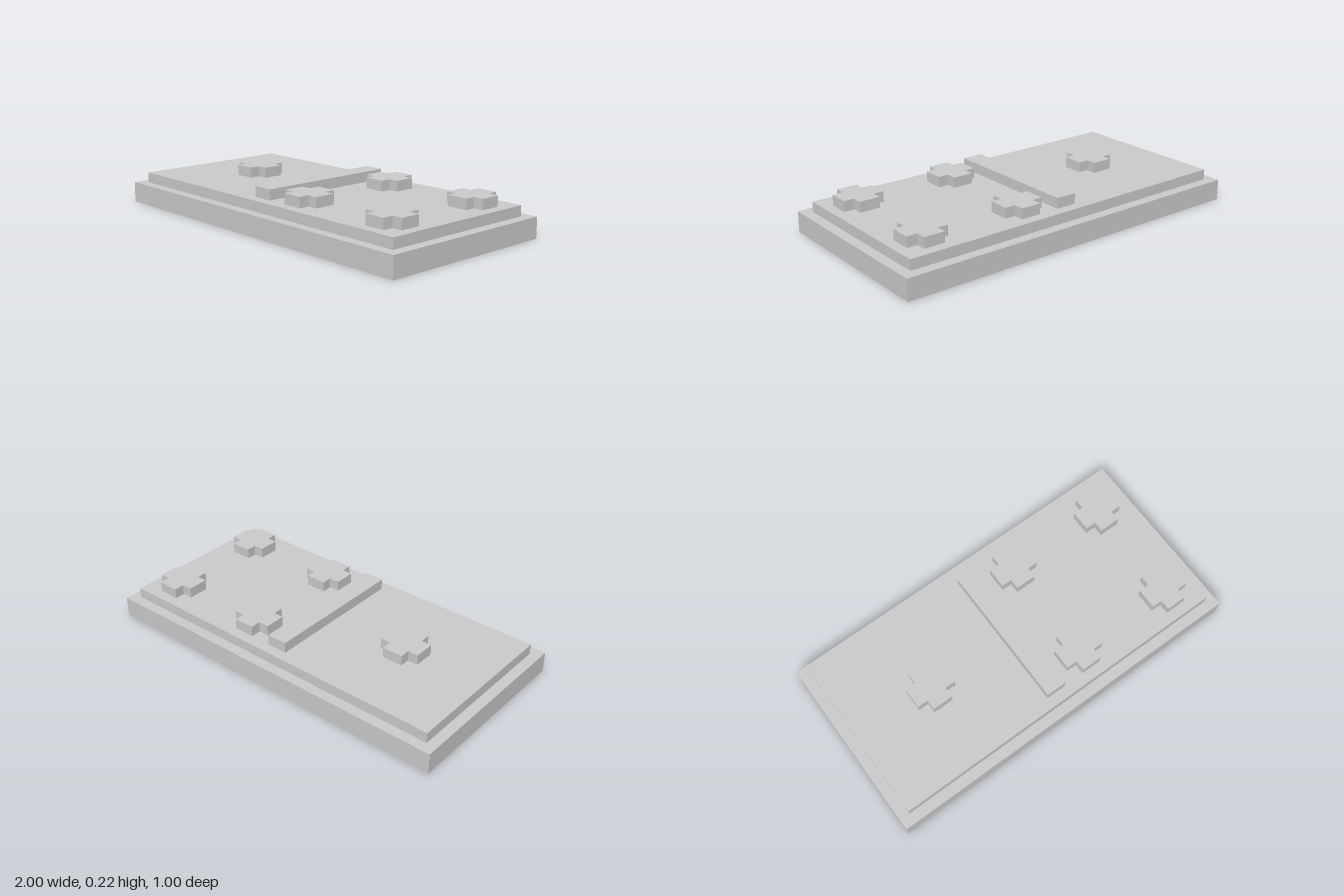
import * as THREE from 'three';

const U = 1 / 18; // the tile is laid out on a grid, 36 units long

export function createModel() {
  const group = new THREE.Group();
  group.name = 'dominoTile';
  const material = new THREE.MeshStandardMaterial({ color: 0xcccccc, flatShading: true });

  const add = (name, geometry, x, y, z) => {
    const mesh = new THREE.Mesh(geometry, material);
    mesh.name = name;
    mesh.position.set(x * U, y * U, z * U);
    group.add(mesh);
  };
  // Box standing on height y, sizes in grid units
  const slab = (name, w, h, d, y) =>
    add(name, new THREE.BoxGeometry(w * U, h * U, d * U), 0, y + h / 2, 0);

  // Stepped body and the bar across the middle
  slab('base', 36, 2, 18, 0);
  slab('face', 34, 1, 16, 2);
  slab('divider', 2, 1, 14, 3);

  // Plus-shaped pip outline, one notched corner per quarter turn
  const outline = [];
  for (let i = 0; i < 4; i++) {
    for (const [x, y] of [[2, -1], [2, 1], [1, 1]]) {
      const p = new THREE.Vector2(x * U, y * U);
      for (let k = 0; k < i; k++) p.set(-p.y, p.x);
      outline.push(p);
    }
  }
  const pip = new THREE.ExtrudeGeometry(new THREE.Shape(outline), { depth: U, bevelEnabled: false });
  pip.rotateX(-Math.PI / 2);

  // One pip on the right half, four on the left
  add('singlePip', pip, -9, 3, 0);
  for (const x of [4, 14]) for (const z of [-5, 5]) add('cornerPip', pip, x, 3, z);

  return group;
}
